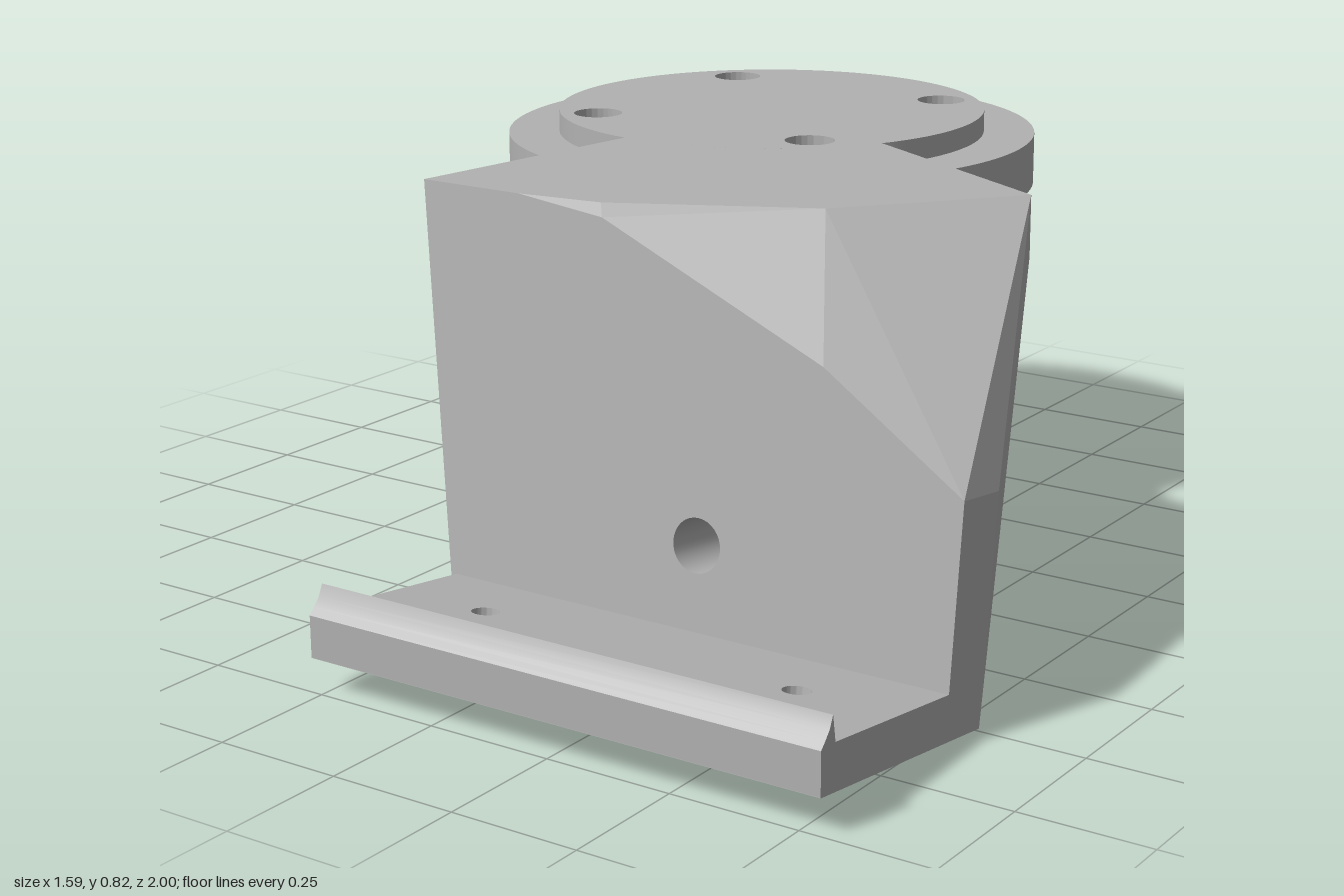
import * as THREE from 'three';
import { toCreasedNormals } from 'three/addons/utils/BufferGeometryUtils.js';

const V = (x, y, z) => new THREE.Vector3(x, y, z);
const lerp = THREE.MathUtils.lerp;

// Flat polygon (optional hole) whose normal is turned towards `out`
function face(target, pts, out, hole = []) {
  const n = V(0, 0, 0);
  pts.forEach((p, i) => n.add(p.clone().cross(pts[(i + 1) % pts.length])));
  n.normalize();
  const u = pts[1].clone().sub(pts[0]);
  u.addScaledVector(n, -u.dot(n)).normalize();
  const v = n.clone().cross(u);
  const flat = (p) => new THREE.Vector2(p.dot(u), p.dot(v));
  const all = [...pts, ...hole];
  const tris = THREE.ShapeUtils.triangulateShape(pts.map(flat), hole.length ? [hole.map(flat)] : []);
  for (const t of tris) {
    let [a, b, c] = t.map((i) => all[i]);
    const m = b.clone().sub(a).cross(c.clone().sub(a));
    if (m.dot(out) < 0) [b, c] = [c, b];
    for (const p of [a, b, c]) target.push(p.x, p.y, p.z);
  }
}

function toGeometry(positions) {
  const g = new THREE.BufferGeometry();
  g.setAttribute('position', new THREE.Float32BufferAttribute(positions, 3));
  g.computeVertexNormals();
  return g;
}

// Ruled surface between two rows of points; normals face the side given by outAt(point)
function ruled(rowA, rowB, outAt) {
  const pos = [];
  for (let i = 0; i < rowA.length - 1; i++) {
    const out = outAt(rowA[i].clone().add(rowA[i + 1]).multiplyScalar(0.5));
    face(pos, [rowA[i], rowA[i + 1], rowB[i + 1]], out);
    face(pos, [rowA[i], rowB[i + 1], rowB[i]], out);
  }
  return toCreasedNormals(toGeometry(pos), 0.6);
}

function circlePath(x, y, r) {
  return new THREE.Path().absarc(x, y, r, 0, Math.PI * 2, true);
}

// Round plate lying flat between two heights, with round holes [x, z, r]
function roundPlate(cx, cz, r, y0, y1, holes) {
  const s = new THREE.Shape().absarc(cx, -cz, r, 0, Math.PI * 2, false);
  for (const [x, z, hr] of holes) s.holes.push(circlePath(x, -z, hr));
  const g = new THREE.ExtrudeGeometry(s, { depth: y1 - y0, bevelEnabled: false, curveSegments: 64 });
  g.rotateX(-Math.PI / 2).translate(0, y0, 0);
  return toCreasedNormals(g, 0.6);
}

export function createModel() {
  const model = new THREE.Group();
  model.name = 'mountingBracket';
  const grey = new THREE.MeshStandardMaterial({ color: 0xb2b2b2 });
  grey.name = 'light grey';
  const add = (name, geometry) => {
    const m = new THREE.Mesh(geometry, grey);
    m.name = name;
    model.add(m);
  };

  // Round mounting disc with four bolt holes and a shallow recess below
  const cx = -0.25, cz = -0.45;
  const bolts = [];
  for (const sx of [-1, 1]) for (const sz of [-1, 1]) bolts.push([cx + sx * 0.26, cz + sz * 0.26, 0.05]);
  add('discRim', roundPlate(cx, cz, 0.55, 0.675, 0.705, [[cx, cz, 0.48]]));
  add('discPlate', roundPlate(cx, cz, 0.55, 0.705, 0.78, bolts));
  add('discStep', roundPlate(cx, cz, 0.445, 0.78, 0.825, bolts));

  // Body corners
  const top = 0.825, under = 0.71;
  const frontZ = (y) => 0.607 - 0.117 * (y - 0.015);
  const onFront = (x, y) => V(x, y, frontZ(y));
  const A = V(-0.27, 0, 0.49), B = V(0.79, 0, 0.49);
  const E = onFront(-0.27, 0.015), F = onFront(0.79, 0.015);
  const FL = onFront(-0.39, top), FL2 = onFront(-0.39, under);
  const C = V(0.79, 0.415, 0.44), D = onFront(0.79, 0.43);
  const G = onFront(0.5, 0.61), H = onFront(0.02, 0.805), I = onFront(-0.17, top);
  const J = V(0, top, 0.49), K = V(0.36, top, 0.31);
  const P = V(0.61, top, 0.01), P2 = V(0.61, under, 0.01);

  // Arcs around the disc centre, angle measured from +z towards +x
  const arc = (r, a0, a1, yAt) => Array.from({ length: 33 }, (_, i) => {
    const a = THREE.MathUtils.degToRad(lerp(a0, a1, i / 32));
    const x = cx + r * Math.sin(a), z = cz + r * Math.cos(a);
    return V(x, yAt(z), z);
  });
  const joinTop = arc(0.445, 62.3, -7.8, () => top);
  const joinUnder = arc(0.445, 62.3, -7.8, () => under);
  const cutTop = arc(0.8, 61.5, -7.8, () => under);
  const cutLow = arc(0.8, 54, -1.2, (z) => 0.49 - z);
  const [S, T] = [joinTop[0], joinTop[32]];
  const [S2, T2] = [joinUnder[0], joinUnder[32]];

  // Slanted cable hole, from the front face to the sloping back
  const axis = V(0, -0.116, -0.993);
  const ringFront = Array.from({ length: 33 }, (_, i) => {
    const a = (i / 32) * Math.PI * 2;
    return onFront(0.265 + 0.05 * Math.cos(a), 0.255 + 0.05 * Math.sin(a));
  });
  const ringBack = ringFront.map((p) => p.clone().addScaledVector(axis, (p.y + p.z - 0.49) / 1.109));

  // Faceted body
  const body = [];
  const FRONT = V(0, 0.1, 1), RIGHT = V(1, 0, 0), LEFT = V(-1, 0, 0), UP = V(0, 1, 0), DOWN = V(0, -1, 0);
  const BACK = V(0, -1, -1), BEVEL = V(0.5, 0.7, 0.5), REAR = V(0.5, -0.2, -1);
  face(body, [E, F, D, G, H, I, FL], FRONT, ringFront.slice(0, 32));
  face(body, [FL, I, J, K, P, ...joinTop], UP);
  face(body, [...cutTop, ...joinUnder.slice().reverse()], DOWN);
  face(body, [B, A, ...cutLow.slice().reverse()], BACK, ringBack.slice(0, 32));
  face(body, [B, C, D, F], RIGHT);
  face(body, [A, E, FL2, cutTop[32], cutLow[32]], LEFT);
  face(body, [FL2, FL, T, T2], LEFT);
  face(body, [P, P2, S2, S], REAR);
  face(body, [P2, B, cutLow[0]], REAR);
  face(body, [P2, cutLow[0], cutTop[0]], REAR);
  face(body, [P, C, P2], RIGHT);
  face(body, [P2, C, B], RIGHT);
  face(body, [P, D, C], RIGHT);
  for (const t of [[K, P, D], [K, D, G], [K, G, H], [K, H, J], [J, H, I]]) face(body, t, BEVEL);
  add('body', toGeometry(body));

  // Curved clearance under the arm and the wall of the cable hole
  add('curvedCutout', ruled(cutTop, cutLow, (p) => V(cx - p.x, 0, cz - p.z)));
  add('cableHole', ruled(ringFront, ringBack, (p) => V(0.265 - p.x, 0.255 - p.y, 0)));

  // Tilted foot plate with two screw holes
  const s = new THREE.Shape();
  s.moveTo(-0.27, 0).lineTo(-0.27, -0.514).lineTo(0.79, -0.514).lineTo(0.79, 0).closePath();
  for (const x of [-0.065, 0.595]) s.holes.push(circlePath(x, -0.288, 0.026));
  const foot = new THREE.ExtrudeGeometry(s, { depth: 0.085, bevelEnabled: false, curveSegments: 24 });
  foot.rotateX(-Math.PI / 2).rotateX(-0.127).translate(0, 0, 0.49);
  add('footPlate', toCreasedNormals(foot, 0.6));

  // Raised lip along the front edge of the foot
  const lip = new THREE.Shape(
    [[0.955, 0.06], [0.958, 0.15], [0.965, 0.194], [0.975, 0.172], [0.988, 0.157], [1, 0.145], [1, 0.066]]
      .map(([z, y]) => new THREE.Vector2(-z, y)));
  const lipGeo = new THREE.ExtrudeGeometry(lip, { depth: 1.06, bevelEnabled: false });
  lipGeo.rotateY(Math.PI / 2).translate(-0.27, 0, 0);
  add('footLip', toCreasedNormals(lipGeo, 0.6));

  return model;
}
